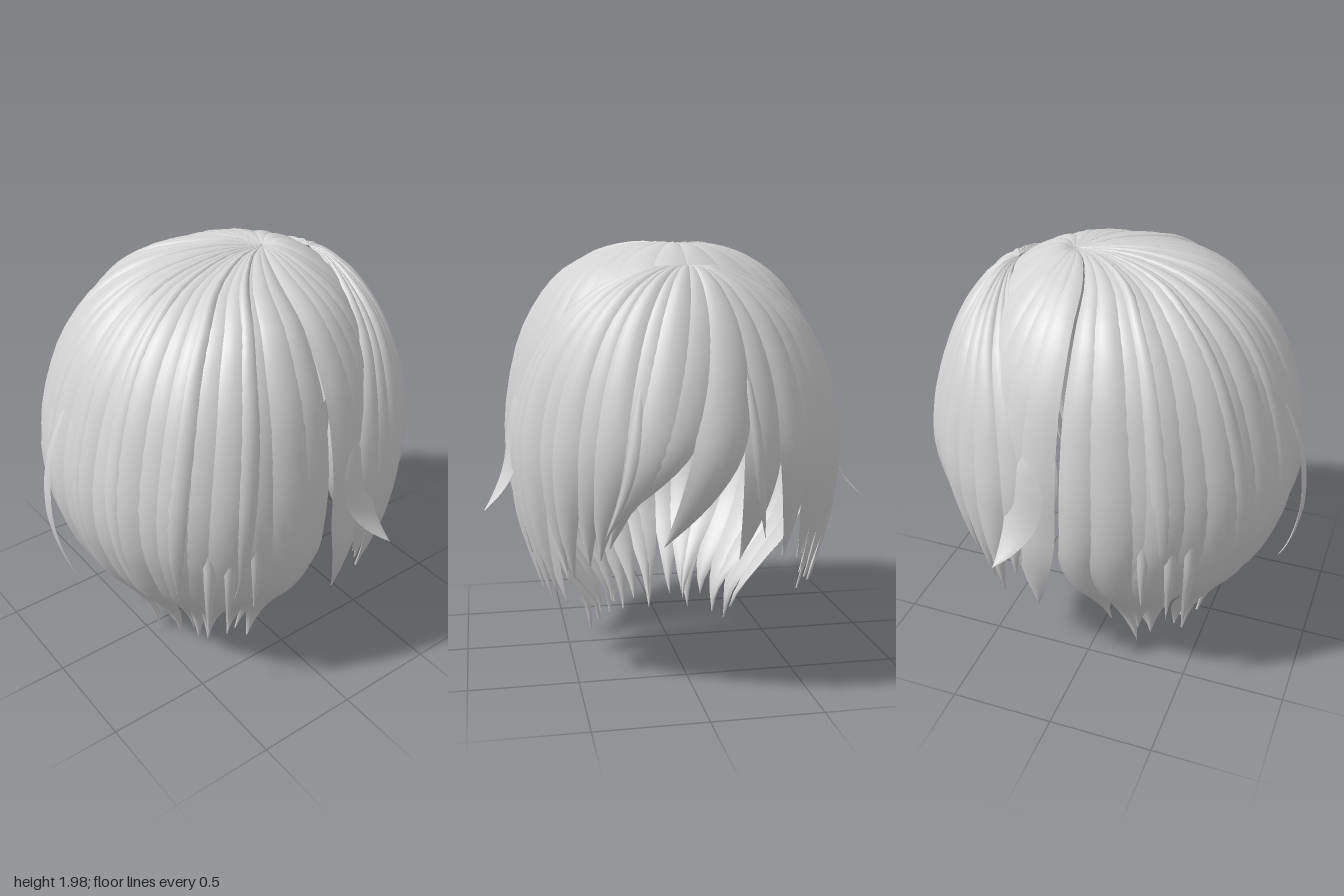
import * as THREE from 'three';

const rad = THREE.MathUtils.degToRad;

// small seeded generator for natural variation
let seed = 7;
const rand = (lo, hi) => {
  seed = (seed * 16807) % 2147483647;
  return lo + (hi - lo) * (seed / 2147483647);
};

// A surface from rings [y, half width, z at -z end, z at +z end], crown first
function makeSurface(rings) {
  const a = new THREE.CatmullRomCurve3(rings.map(r => new THREE.Vector3(r[1], r[0], r[2])), false, 'catmullrom');
  const b = new THREE.CatmullRomCurve3(rings.map(r => new THREE.Vector3(r[3], 0, 0)), false, 'catmullrom');
  const first = 1 / (rings.length - 1);
  return {
    // point at azimuth az (0 = +z, 90 degrees = +x), pushed outward by off
    at(az, t, off) {
      const p = a.getPoint(t), back = b.getPoint(t).x;
      const zc = (p.z + back) / 2, rz = (back - p.z) / 2;
      // fuller diagonals behind, slimmer ones at the fringe
      const full = p.x / 0.75, diagonal = Math.sin(2 * az) ** 2;
      const k = 1 + diagonal * (Math.cos(az) > 0 ? 0.035 * full ** 4 : -0.035 * full);
      const v = new THREE.Vector3(k * p.x * Math.sin(az), p.y, zc + k * rz * Math.cos(az));
      const dir = new THREE.Vector3(v.x, Math.max(0, v.y - 1.1), v.z - zc).normalize();
      return v.addScaledVector(dir, off);
    },
    // parameter where the surface reaches a height
    tAt(y) {
      let lo = first, hi = 1;
      for (let i = 0; i < 24; i++) {
        const m = (lo + hi) / 2;
        if (a.getPoint(m).y > y) lo = m; else hi = m;
      }
      return hi;
    },
  };
}

const upperRings = [
  [1.965, 0, -0.22, -0.22], [1.98, 0.14, -0.29, 0.04], [1.935, 0.32, -0.41, 0.31],
  [1.835, 0.49, -0.54, 0.5], [1.7, 0.605, -0.65, 0.64], [1.5, 0.7, -0.75, 0.75],
  [1.2, 0.757, -0.83, 0.835], [0.95, 0.757, -0.84, 0.84],
];
const longSurface = makeSurface([...upperRings,
  [0.75, 0.72, -0.82, 0.79], [0.55, 0.63, -0.68, 0.7], [0.38, 0.49, -0.52, 0.57],
  [0.2, 0.36, -0.38, 0.45], [0, 0.31, -0.16, 0.37]]);
const sideSurface = makeSurface([...upperRings,
  [0.75, 0.745, -0.84, 0.83], [0.55, 0.69, -0.83, 0.79], [0.36, 0.62, -0.8, 0.73]]);
const fringeSurface = makeSurface([
  [1.89, 0, -0.5, -0.5], [1.865, 0.17, -0.56, -0.41], [1.77, 0.365, -0.65, -0.22],
  [1.62, 0.54, -0.75, 0], [1.4, 0.67, -0.845, 0.25], [1.15, 0.735, -0.905, 0.4],
  [0.95, 0.74, -0.89, 0.39], [0.75, 0.72, -0.82, 0.3], [0.55, 0.67, -0.74, 0.18],
  [0.36, 0.61, -0.66, 0.06]]);

// Lens-shaped lock lying on a surface, tapering to a point
function lockGeometry(surface, o) {
  const { az, half, end, start = null, drift = 0, lift = 0, flip = 0, power = 5, bulge = 0.024, taper = 0.7 } = o;
  const rows = 28, cols = 6, pos = [], idx = [];
  const t0 = start === null ? 0.002 : surface.tAt(start), t1 = surface.tAt(end);
  for (const layer of [1, -0.9]) {
    const base = pos.length / 3;
    for (let i = 0; i <= rows; i++) {
      const s = i / rows, t = t0 + (t1 - t0) * s;
      let w = s < taper ? 1 : 1 - Math.pow((s - taper) / (1 - taper), 1.7);
      if (start !== null) w *= Math.min(1, s * 2.5);
      const ramp = Math.min(1, s * 4);
      for (let j = 0; j <= cols; j++) {
        const u = (j / cols) * 2 - 1;
        const off = ramp * (lift + layer * bulge * (1 - u * u) * (0.25 + 0.75 * w)) + flip * Math.pow(s, power);
        const p = surface.at(rad(az + drift * Math.pow(s, 3) + u * half * w), t, off);
        pos.push(p.x, p.y, p.z);
      }
    }
    for (let i = 0; i < rows; i++) for (let j = 0; j < cols; j++) {
      const a = base + i * (cols + 1) + j, b = a + cols + 1;
      if (layer > 0) idx.push(a, b, b + 1, a, b + 1, a + 1);
      else idx.push(a, b + 1, b, a, a + 1, b + 1);
    }
  }
  const g = new THREE.BufferGeometry();
  g.setAttribute('position', new THREE.Float32BufferAttribute(pos, 3));
  g.setIndex(idx);
  g.computeVertexNormals();
  return g;
}

export function createModel() {
  seed = 7;
  const hair = new THREE.MeshStandardMaterial({ color: 0xd2d2d2 });
  hair.name = 'hairGrey';
  const model = new THREE.Group();
  model.name = 'hair';
  const group = name => {
    const g = new THREE.Group();
    g.name = name;
    model.add(g);
    return g;
  };
  const add = (parent, name, surface, o) => {
    const m = new THREE.Mesh(lockGeometry(surface, o), hair);
    m.name = name;
    parent.add(m);
  };

  // long locks falling from the crown to the nape
  const long = group('longHair');
  const count = 21;
  for (let i = 0; i < count; i++) {
    add(long, 'longLock', longSurface, {
      az: -84 + (168 * i) / (count - 1), half: rand(6.5, 8.5),
      end: i % 3 === 1 ? rand(0.005, 0.04) : rand(0.04, 0.13),
      lift: (i % 2) * 0.008, drift: rand(-10, 10), flip: rand(0, 0.06), taper: rand(0.8, 0.88),
    });
  }

  // shorter locks layered over the long ones
  const layers = group('overLayers');
  for (const [az, end, drift] of [[-62, 0.55, 3], [-38, 0.42, 6], [-14, 0.36, -5], [4, 0.48, 6], [20, 0.48, 8], [44, 0.4, -5], [64, 0.6, -4]])
    add(layers, 'overLock', longSurface, { az, half: 4.2, end, drift, lift: 0.012, flip: 0.02, taper: 0.6 });

  // broad smooth locks running forward beneath the fringe
  const cap = group('frontCap');
  for (let az = 130; az <= 230; az += 20)
    add(cap, 'capLock', sideSurface, { az, half: 14, end: 1.5, bulge: 0.012, lift: -0.004, taper: 0.9 });

  // side locks, wisps and outward flicks, mirrored
  const sides = group('sideHair');
  for (const m of [-1, 1]) {
    for (const [az, end, drift] of [[100, 0.38, 2], [108, 0.6, 0], [116, 0.38, 5], [125, 0.5, 2]])
      add(sides, 'sideLock', sideSurface, { az: m * az, half: 8, end, drift: m * drift, bulge: 0.016, taper: 0.7, flip: 0.02 });
    add(sides, 'sideFlick', sideSurface, { az: m * 102, half: 6.5, start: 1.45, end: 0.79, drift: m * 4, lift: 0.012, flip: 0.18, power: 3.5, bulge: 0.014, taper: 0.5 });
    for (const [az, end, flip] of [[52, 0.37, 0.06], [58, 0.47, 0.05], [66, 0.56, 0.03]])
      add(sides, 'sideWisp', sideSurface, { az: m * az, half: 1.8, start: 1.5, end, flip, power: 4, lift: 0.012, bulge: 0.01, taper: 0.5 });
  }

  // fringe: [degrees from the middle, half width, tip height, sideways sweep]
  const fringe = group('fringe');
  const locks = [
    [-103, 9, 0.8, 6], [-92, 9, 0.58, 3], [-81, 8, 0.4, 4], [-70, 9, 0.44, 3], [-59, 8, 0.56, 3],
    [-49, 8, 0.53, -3], [-39, 8, 0.6, -4], [-29, 8, 0.64, -8], [-19, 8, 0.7, -14],
    [-9, 9, 0.74, -26], [2, 10, 0.77, -40], [13, 9, 0.72, -26], [23, 8, 0.64, -8],
    [34, 8, 0.62, 2], [45, 9, 0.58, 4], [57, 9, 0.54, -3], [69, 9, 0.44, -3],
    [81, 8, 0.4, -4], [92, 9, 0.58, -3], [103, 9, 0.8, -6],
  ];
  locks.forEach(([off, half, end, drift], i) => add(fringe, 'fringeLock', fringeSurface, {
    az: 180 + off, half, end, drift, lift: (i % 2) * 0.008, taper: 0.64,
  }));

  // thin stray strands
  const strays = group('strayStrands');
  add(strays, 'rearStray', longSurface, { az: -7, half: 2.6, start: 1.55, end: 0.5, drift: 5, flip: 0.13, power: 1.1, lift: 0.035, bulge: 0.008, taper: 0.5 });
  for (const [az, drift] of [[196, 4], [158, -10]])
    add(strays, 'fringeStray', fringeSurface, { az, half: 2, start: 1.6, end: 0.75, drift, flip: 0.05, power: 2, lift: 0.015, bulge: 0.008, taper: 0.5 });

  return model;
}
